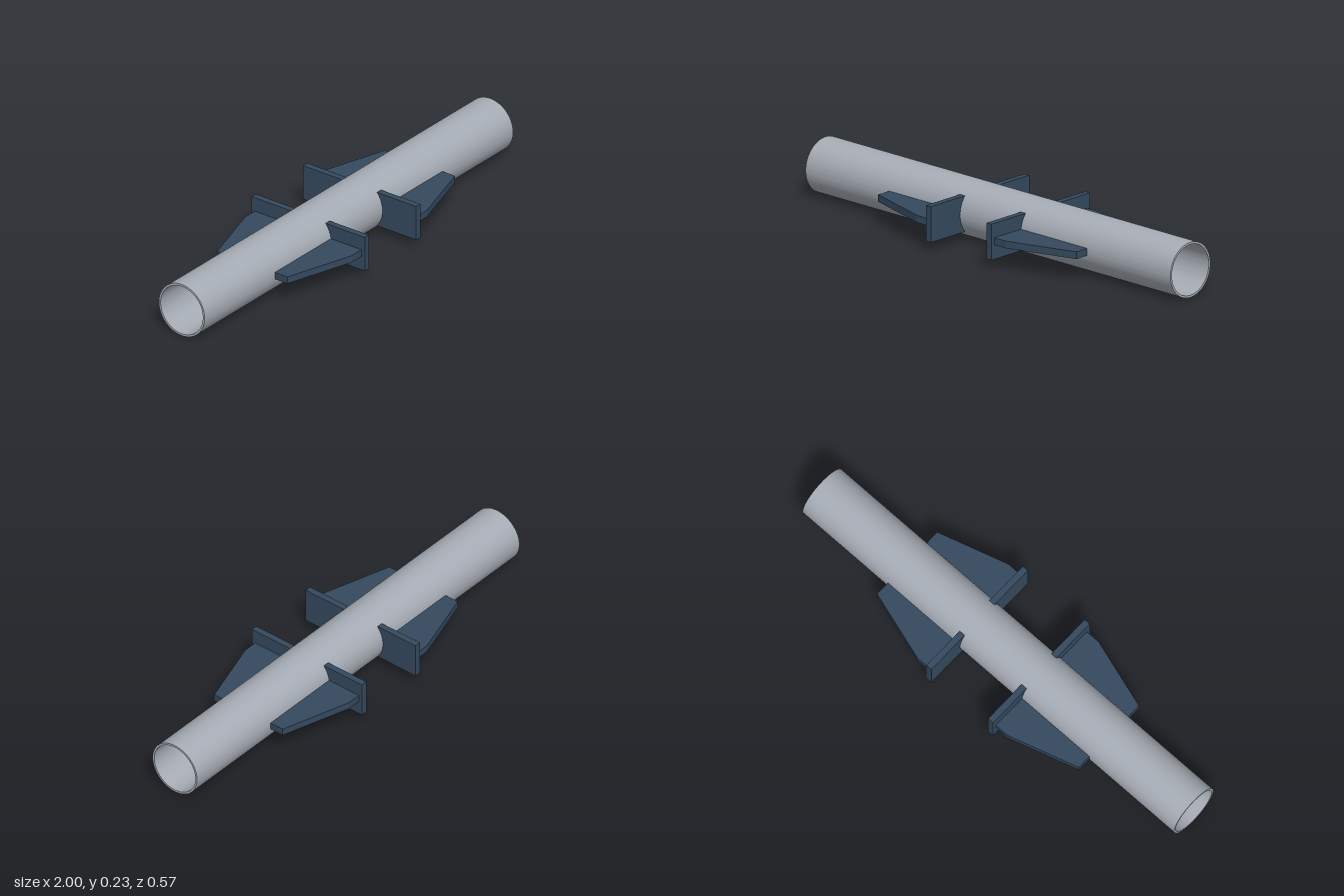
import * as THREE from 'three';
import { toCreasedNormals } from 'three/addons/utils/BufferGeometryUtils.js';

const R = 0.115;        // pipe outer radius and height of its axis
const BORE = 0.106;     // pipe inner radius
const SEAT = 0.113;     // radius of the cut that seats parts on the pipe

const pipeMaterial = new THREE.MeshStandardMaterial({ color: 0xa6acb5 });
const steelMaterial = new THREE.MeshStandardMaterial({ color: 0x34495e });

function extrude(shape, depth, curveSegments = 24) {
  return new THREE.ExtrudeGeometry(shape, { depth, bevelEnabled: false, curveSegments });
}

function addMesh(parent, name, geometry, material) {
  const mesh = new THREE.Mesh(geometry, material);
  mesh.name = name;
  parent.add(mesh);
}

// Hollow tube along x
function pipeGeometry() {
  const ring = new THREE.Shape().absarc(0, 0, R, 0, Math.PI * 2, false);
  ring.holes.push(new THREE.Path().absarc(0, 0, BORE, 0, Math.PI * 2, true));
  const g = extrude(ring, 2, 64).translate(0, 0, -1).rotateY(Math.PI / 2);
  return toCreasedNormals(g, 0.6);
}

// Upright plate across the pipe, its inner edge curved to fit the wall
function plateGeometry() {
  const h = 0.075, outer = 0.284;
  const a = Math.asin(h / SEAT);
  const s = new THREE.Shape();
  s.moveTo(outer, -h);
  s.lineTo(outer, h);
  s.lineTo(SEAT * Math.cos(a), h);
  s.absarc(0, 0, SEAT, a, -a, true);
  s.closePath();
  // shape x becomes +z, depth runs along x
  return extrude(s, 0.027).rotateY(-Math.PI / 2).translate(0.18, 0, 0);
}

// Flat tapered rib bracing the plate against the pipe
function ribGeometry() {
  const s = new THREE.Shape([
    [0.18, 0.111], [0.543, 0.111], [0.543, 0.177], [0.243, 0.268], [0.18, 0.268],
  ].map(([x, z]) => new THREE.Vector2(x, z)));
  return extrude(s, 0.03).rotateX(Math.PI / 2).translate(0, 0.015, 0);
}

export function createModel() {
  const model = new THREE.Group();
  model.name = 'pipeWithBrackets';

  const assembly = new THREE.Group();
  assembly.name = 'pipeAssembly';
  assembly.position.y = R;
  model.add(assembly);

  addMesh(assembly, 'pipe', pipeGeometry(), pipeMaterial);

  // Four brackets: half turns about each axis give every quadrant
  const plate = plateGeometry();
  const rib = ribGeometry();
  const turns = {
    frontLeftBracket: [0, 0, 0],
    backLeftBracket: [Math.PI, 0, 0],
    backRightBracket: [0, Math.PI, 0],
    frontRightBracket: [0, 0, Math.PI],
  };
  for (const [name, turn] of Object.entries(turns)) {
    const bracket = new THREE.Group();
    bracket.name = name;
    bracket.rotation.set(...turn);
    addMesh(bracket, 'stopPlate', plate, steelMaterial);
    addMesh(bracket, 'taperedRib', rib, steelMaterial);
    assembly.add(bracket);
  }
  return model;
}
